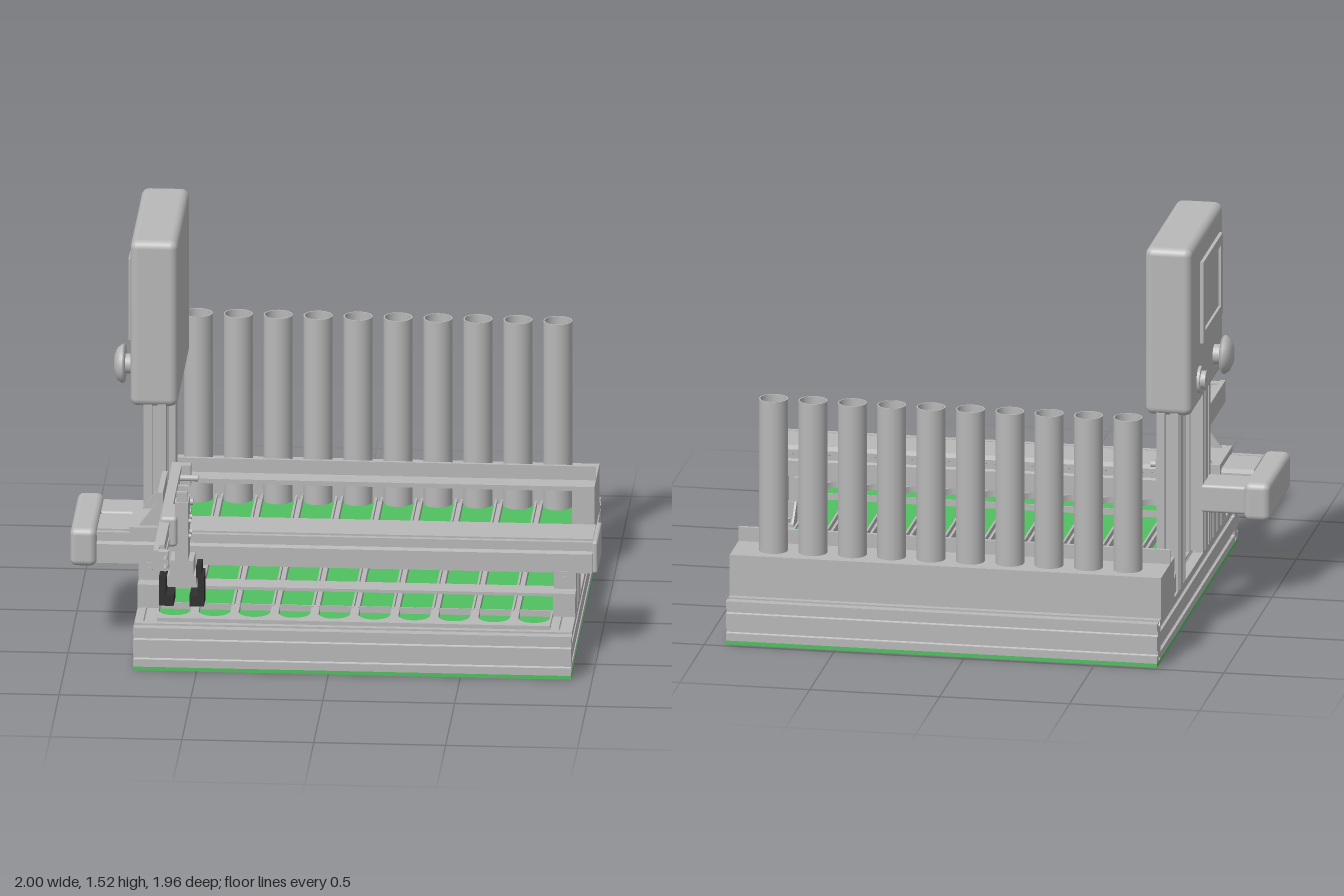
import * as THREE from 'three';
import { RoundedBoxGeometry } from 'three/addons/geometries/RoundedBoxGeometry.js';

export function createModel() {
  const model = new THREE.Group();
  const mat = (name, color) => {
    const m = new THREE.MeshStandardMaterial({ color, side: THREE.DoubleSide });
    m.name = name;
    return m;
  };
  const grey = mat('aluminium grey', 0xb8b8b8);
  const green = mat('base green', 0x50c060);
  const black = mat('gripper black', 0x303030);

  const add = (name, geo, m = grey) => {
    const mesh = new THREE.Mesh(geo, m);
    mesh.name = name;
    model.add(mesh);
    return mesh;
  };
  const mid = (a, b) => (a + b) / 2;
  // box from its limits on each axis, optionally with rounded edges
  const box = (name, x0, x1, y0, y1, z0, z1, m = grey, r = 0) => {
    const size = [x1 - x0, y1 - y0, z1 - z0];
    const geo = r ? new RoundedBoxGeometry(...size, 3, r) : new THREE.BoxGeometry(...size);
    const mesh = add(name, geo, m);
    mesh.position.set(mid(x0, x1), mid(y0, y1), mid(z0, z1));
    return mesh;
  };
  // cylinder lying along x, y or z
  const rod = (name, axis, r, len, x, y, z, m = grey) => {
    const geo = new THREE.CylinderGeometry(r, r, len, 24);
    if (axis === 'x') geo.rotateZ(Math.PI / 2);
    if (axis === 'z') geo.rotateX(Math.PI / 2);
    add(name, geo, m).position.set(x, y, z);
  };
  const extrude = (shape, depth) =>
    new THREE.ExtrudeGeometry(shape, { depth, bevelEnabled: false, curveSegments: 16 });
  const polygon = pts => new THREE.Shape(pts.map(p => new THREE.Vector2(...p)));

  // slotted profile: nw T-slots on the w sides, nh on the h sides
  const slotted = (w, h, nw, nh) => {
    const pts = [];
    const corners = [[-w / 2, -h / 2], [w / 2, -h / 2], [w / 2, h / 2], [-w / 2, h / 2]];
    corners.forEach(([x, y], k) => {
      const dir = [[1, 0], [0, 1], [-1, 0], [0, -1]][k];
      const len = k % 2 ? h : w, n = k % 2 ? nh : nw;
      const at = (s, d) => pts.push([x + dir[0] * s - dir[1] * d, y + dir[1] * s + dir[0] * d]);
      at(0, 0);
      for (let i = 0; i < n; i++) {
        const c = len * (i + 0.5) / n;
        for (const [s, d] of [[-.01, 0], [-.01, .007], [-.018, .007], [-.009, .02],
          [.009, .02], [.018, .007], [.01, .007], [.01, 0]]) at(c + s, d);
      }
    });
    return polygon(pts);
  };
  const alongX = (shape, x0, x1) => extrude(shape, x1 - x0).rotateY(Math.PI / 2).translate(x0, 0, 0);
  const alongY = (shape, y0, y1) => extrude(shape, y1 - y0).rotateX(-Math.PI / 2).translate(0, y0, 0);

  const L = -0.74, R = 0.92, railW = 0.085, innerL = L + railW, innerR = R - railW;
  const lanes = Array.from({ length: 10 }, (_, i) => -0.595 + i * 0.1515);

  // base plate and frame
  box('basePlate', L, R, 0, 0.015, -0.98, 0.69, green);
  const frameProfile = slotted(0.09, 0.155, 1, 2);
  for (const z of [0.645, -0.935])
    add('crossRail', alongX(frameProfile, L, R)).position.set(0, 0.0925, z);
  const sideProfile = slotted(railW, 0.155, 1, 2);
  for (const x of [L + railW / 2, R - railW / 2])
    add('sideRail', extrude(sideProfile, 1.49)).position.set(x, 0.0925, -0.89);

  // raised deck with lane dividers
  box('deck', innerL, innerR, 0.148, 0.16, -0.89, 0.6, green);
  for (let i = 0; i < 9; i++) {
    const x = mid(lanes[i], lanes[i + 1]);
    box('dividerBase', x - 0.015, x + 0.015, 0.16, 0.168, -0.88, 0.44);
    for (const s of [-1, 1])
      box('dividerWall', x + s * 0.011 - 0.004, x + s * 0.011 + 0.004, 0.16, 0.188, -0.88, 0.44);
  }

  // front plate with one round-ended slot per lane
  const front = polygon([[innerL, -0.61], [innerR, -0.61], [innerR, -0.42], [innerL, -0.42]]);
  for (const x of lanes) {
    const slot = new THREE.Path();
    slot.moveTo(x - 0.06, -0.425);
    slot.lineTo(x - 0.06, -0.515);
    slot.absarc(x, -0.515, 0.06, Math.PI, 2 * Math.PI, false);
    slot.lineTo(x + 0.06, -0.425);
    slot.closePath();
    front.holes.push(slot);
  }
  add('frontPlate', alongY(front, 0.16, 0.185));

  // tube holder, open toward the lanes
  const top = polygon([[L, 0.62], [R, 0.62], [R, 0.9], [L, 0.9]]);
  for (const x of lanes) {
    const hole = new THREE.Path();
    hole.absarc(x, 0.805, 0.053, 0, Math.PI * 2, true);
    top.holes.push(hole);
  }
  add('holderTop', alongY(top, 0.312, 0.33));
  box('holderBack', L, R, 0.17, 0.312, -0.9, -0.87);
  box('holderEnd', L, innerL, 0.17, 0.312, -0.87, -0.62);
  box('holderEnd', innerR, R, 0.17, 0.312, -0.87, -0.62);
  box('holderLip', L, R, 0.33, 0.385, -0.715, -0.7);

  // storage tubes
  const tubeGeo = r => new THREE.CylinderGeometry(r, r, 0.74, 32, 1, true);
  for (const x of lanes) {
    for (const r of [0.055, 0.05]) add('tube', tubeGeo(r)).position.set(x, 0.56, -0.805);
    add('tubeRim', new THREE.RingGeometry(0.05, 0.055, 32).rotateX(-Math.PI / 2)).position.set(x, 0.93, -0.805);
  }

  // pillars carrying the control box
  const pillar = slotted(railW, 0.15, 1, 2);
  for (const z of [0.045, -0.465])
    add('pillar', alongY(pillar, 0.17, 0.87)).position.set(L + railW / 2, 0, z);

  // corner brackets: two cheeks, a foot and an upright
  const bracket = (x, z) => {
    const cheek = polygon([[0, 0.17], [0.08, 0.17], [0.08, 0.182], [0.012, 0.25], [0, 0.25]]);
    for (const dx of [-0.034, 0.026])
      add('bracketCheek', alongX(cheek, x + dx, x + dx + 0.008)).position.z = z;
    box('bracketFoot', x - 0.034, x + 0.034, 0.17, 0.18, z - 0.08, z);
    box('bracketUpright', x - 0.034, x + 0.034, 0.17, 0.25, z - 0.01, z);
    rod('bracketScrew', 'y', 0.016, 0.015, x, 0.187, z - 0.045);
  };
  bracket(L + railW / 2, -0.54);
  bracket(R - railW / 2, 0.09);

  // control box with screen and knobs
  box('controlBox', -0.79, -0.61, 0.86, 1.52, -0.54, 0.125, grey, 0.03);
  const bezel = polygon([[-0.04, 1.1], [0.36, 1.1], [0.36, 1.42], [-0.04, 1.42]]);
  bezel.holes.push(new THREE.Path([[0, 1.14], [0.32, 1.14], [0.32, 1.38], [0, 1.38]].map(p => new THREE.Vector2(...p))));
  add('screenBezel', alongX(bezel, -0.803, -0.785));
  box('screen', -0.793, -0.788, 1.14, 1.38, -0.32, 0);
  rod('stopStem', 'x', 0.038, 0.05, -0.81, 0.97, -0.065);
  const cap = [[0, 0.045], [0.035, 0.042], [0.062, 0.03], [0.075, 0.012], [0.07, 0], [0, 0]]
    .reverse().map(p => new THREE.Vector2(...p));
  add('stopButton', new THREE.LatheGeometry(cap, 32).rotateZ(Math.PI / 2)).position.set(-0.82, 0.97, -0.065);
  rod('smallKnob', 'x', 0.052, 0.012, -0.795, 0.965, -0.385);
  rod('smallKnobCap', 'x', 0.035, 0.03, -0.805, 0.965, -0.385);

  // bridge supports and shelf
  const support = slotted(railW, 0.25, 1, 3);
  for (const x of [L + railW / 2, R - railW / 2]) {
    add('bridgeSupport', alongY(support, 0.17, 0.33)).position.set(x, 0, 0.255);
    box('supportStep', x - 0.042, x + 0.042, 0.17, 0.25, 0.38, 0.45);
    box('supportTab', x - 0.042, x + 0.042, 0.262, 0.33, 0.38, 0.392);
    rod('tabBolt', 'z', 0.012, 0.01, x, 0.3, 0.394);
  }
  box('shelf', L, R, 0.25, 0.262, 0.36, 0.45);

  // linear axis across the machine (section given as -z, y)
  const beam = polygon([[-0.39, 0.325], [-0.15, 0.325], [-0.15, 0.39], [-0.165, 0.395], [-0.165, 0.415],
    [-0.15, 0.42], [-0.15, 0.435], [-0.17, 0.447], [-0.345, 0.447], [-0.345, 0.43], [-0.36, 0.43],
    [-0.36, 0.445], [-0.38, 0.445], [-0.38, 0.43], [-0.365, 0.425], [-0.365, 0.405], [-0.39, 0.4]]);
  add('bridgeBeam', alongX(beam, -0.9, 0.98));
  box('beamEndCap', 0.98, 1, 0.325, 0.45, 0.145, 0.39, grey, 0.008);
  box('motorHousing', -1, -0.9, 0.31, 0.46, -0.055, 0.4, grey, 0.025);
  box('motor', -0.91, -0.73, 0.33, 0.44, -0.035, 0.12, grey, 0.012);

  // carriage bracket
  box('carriage', -0.775, -0.645, 0.43, 0.47, 0.13, 0.39);
  box('carriagePlate', -0.668, -0.648, 0.47, 0.61, 0.13, 0.39);
  const gusset = polygon([[-0.74, 0.47], [-0.66, 0.47], [-0.66, 0.58]]);
  for (const z of [0.15, 0.35]) add('carriageGusset', extrude(gusset, 0.015)).position.z = z;

  // reaching arm along z
  box('armBody', -0.648, -0.628, 0.475, 0.56, -0.1, 0.93);
  for (const y of [0.475, 0.54]) box('armEdge', -0.628, -0.61, y, y + 0.02, -0.1, 0.86);
  box('armRail', -0.628, -0.612, 0.507, 0.528, -0.08, 0.9);
  box('armRearBlock', -0.648, -0.575, 0.48, 0.56, -0.125, -0.09);
  box('armFrontBlock', -0.648, -0.59, 0.48, 0.555, 0.895, 0.93);
  for (const y of [0.5, 0.535]) rod('armPin', 'z', 0.007, 0.06, -0.6, y, 0.945);
  for (const z of [-0.06, 0.22, 0.33]) rod('armFitting', 'x', 0.012, 0.07, -0.58, 0.52, z);

  // vertical slide
  box('slideCarriage', -0.645, -0.58, 0.46, 0.58, 0.42, 0.59, grey, 0.015);
  box('slideBody', -0.59, -0.54, 0.38, 0.63, 0.46, 0.565);
  for (const z of [0.475, 0.55]) box('slidePost', -0.585, -0.545, 0.6, 0.67, z - 0.01, z + 0.01);
  for (const y of [0.49, 0.55])
    for (const z of [0.485, 0.54]) rod('slideBolt', 'x', 0.009, 0.012, -0.537, y, z);

  // gripper with two fingers
  box('gripperMount', -0.61, -0.52, 0.32, 0.4, 0.46, 0.565);
  box('gripperBody', -0.62, -0.51, 0.3, 0.34, 0.475, 0.565);
  for (const s of [-1, 1]) {
    const fx = (a, b) => s < 0 ? [-0.565 - b, -0.565 - a] : [-0.565 + a, -0.565 + b];
    box('gripperJaw', ...fx(0.055, 0.075), 0.33, 0.38, 0.48, 0.56, black);
    box('gripperArm', ...fx(0.06, 0.085), 0.25, 0.34, 0.47, 0.57, black);
    box('gripperFinger', ...fx(0.03, 0.085), 0.22, 0.262, 0.47, 0.57, black);
  }

  return model;
}
